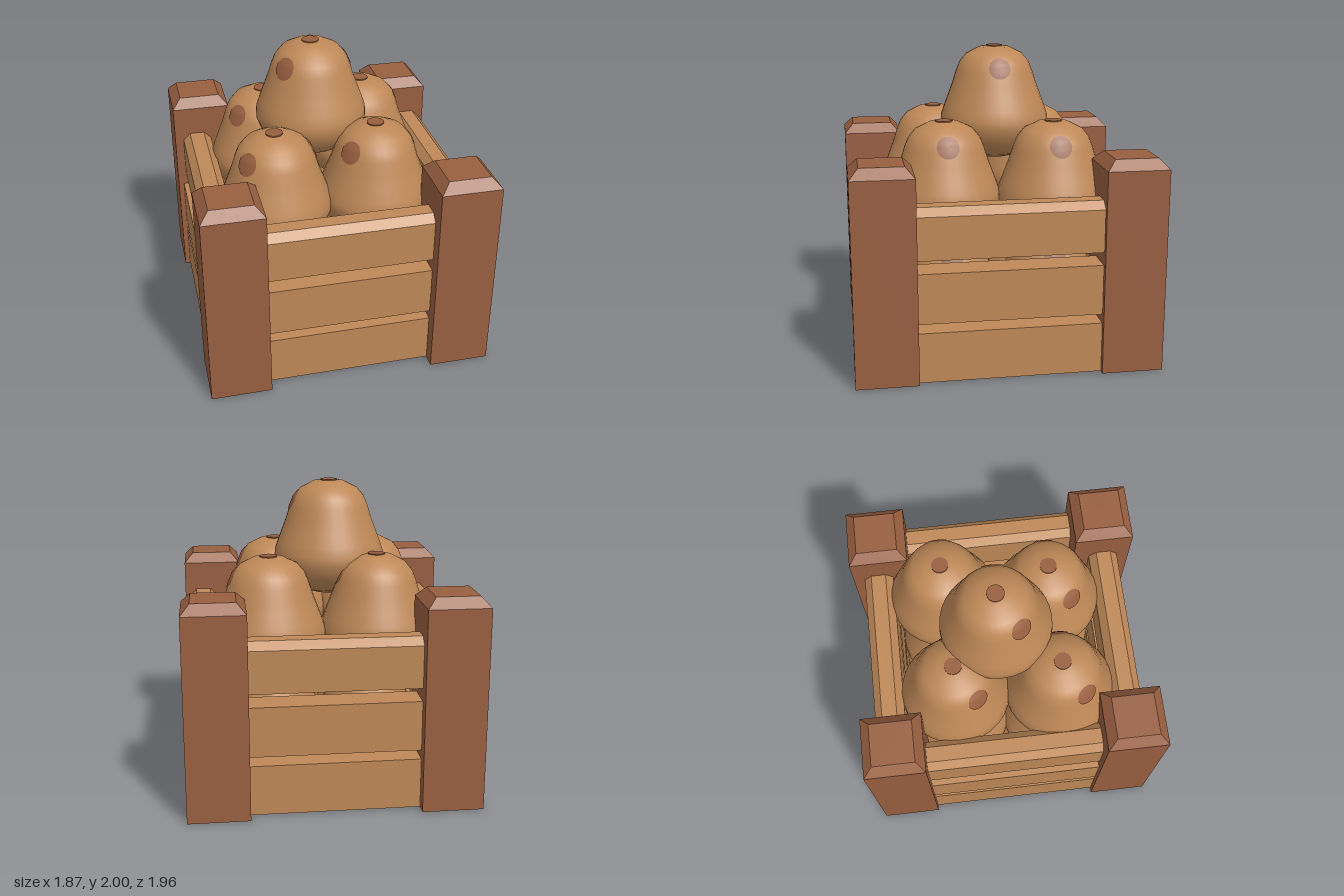
import * as THREE from 'three';

const tan = new THREE.MeshStandardMaterial({ name: 'tan', color: 0xbe8857 });
const brown = new THREE.MeshStandardMaterial({ name: 'brown', color: 0x985f40 });

function add(parent, name, geometry, material, x = 0, y = 0, z = 0) {
  const mesh = new THREE.Mesh(geometry, material);
  mesh.name = name;
  mesh.position.set(x, y, z);
  parent.add(mesh);
  return mesh;
}

// Square post with a bevelled top
function postGeometry(half, height, bevel) {
  const k = Math.SQRT2;
  const pts = [[0, 0], [half * k, 0], [half * k, height - bevel], [(half - 0.06) * k, height], [0, height]]
    .map(([x, y]) => new THREE.Vector2(x, y));
  const g = new THREE.LatheGeometry(pts, 4, Math.PI / 4).toNonIndexed();
  g.computeVertexNormals();
  return g;
}

// Plank along z with optional chamfers on its two top edges
function plankGeometry(length, thick, height, c) {
  const t = thick / 2;
  const pts = [[-t, 0], [t, 0], [t, height - c], [t - c, height], [-t + c, height], [-t, height - c]];
  const corners = c ? pts : [[-t, 0], [t, 0], [t, height], [-t, height]];
  const shape = new THREE.Shape(corners.map(([x, y]) => new THREE.Vector2(x, y)));
  return new THREE.ExtrudeGeometry(shape, { depth: length, bevelEnabled: false }).translate(0, 0, -length / 2);
}

// Pear-like outline of the fruit: radius, height
const outline = [[0, 0], [0.12, 0], [0.24, 0.04], [0.33, 0.12], [0.368, 0.22], [0.365, 0.28], [0.345, 0.34],
  [0.315, 0.42], [0.285, 0.5], [0.26, 0.58], [0.235, 0.64], [0.19, 0.695], [0.1, 0.74], [0, 0.75]];

function radiusAt(y) {
  const i = Math.max(1, outline.findIndex(p => p[1] >= y));
  const [r0, y0] = outline[i - 1], [r1, y1] = outline[i];
  return r0 + (r1 - r0) * (y - y0) / (y1 - y0);
}

// Round spot wrapped onto the fruit's skin
function spotGeometry(angle) {
  const g = new THREE.RingGeometry(0, 0.074, 20, 4);
  const p = g.attributes.position;
  for (let i = 0; i < p.count; i++) {
    const y = 0.615 + p.getY(i) * 0.9;
    const r = radiusAt(y) + 0.005;
    const a = angle + p.getX(i) / r;
    p.setXYZ(i, r * Math.sin(a), y, r * Math.cos(a));
  }
  g.computeVertexNormals();
  return g;
}

const fruitGeometry = new THREE.LatheGeometry(outline.map(([x, y]) => new THREE.Vector2(x, y)), 32);
const stemGeometry = new THREE.CylinderGeometry(0.056, 0.056, 0.009, 16);
const spots = [Math.PI / 2, -0.966].map(spotGeometry);

function addFruit(parent, x, y, z) {
  const fruit = new THREE.Group();
  fruit.name = 'fruit';
  fruit.position.set(x, y, z);
  add(fruit, 'fruitBody', fruitGeometry, tan);
  add(fruit, 'stemDot', stemGeometry, brown, 0, 0.7475, 0);
  for (const spot of spots) add(fruit, 'sideSpot', spot, brown);
  parent.add(fruit);
}

export function createModel() {
  const model = new THREE.Group();
  model.name = 'fruitCrate';

  // Corner posts
  const post = postGeometry(0.198, 1.385, 0.065);
  for (const x of [-0.739, 0.739]) for (const z of [-0.782, 0.78]) add(model, 'post', post, brown, x, 0, z);

  // Three planks on each side, the top one chamfered
  for (const [y, h, c] of [[0.002, 0.328, 0], [0.39, 0.325, 0], [0.8, 0.325, 0.05]]) {
    const long = plankGeometry(1.3, 0.2, h, c);
    const short = plankGeometry(1.2, 0.2, h, c);
    add(model, 'leftPlank', long, tan, c ? 0.805 : 0.8, y, 0);
    add(model, 'rightPlank', long, tan, c ? -0.778 : -0.8, y, 0);
    add(model, 'frontPlank', short, tan, 0, y, 0.79).rotation.y = Math.PI / 2;
    add(model, 'backPlank', short, tan, 0, y, -0.803).rotation.y = Math.PI / 2;
  }

  // Floor board
  add(model, 'floor', new THREE.BoxGeometry(1.42, 0.04, 1.42), brown, 0, 0.05, 0);

  // Lower layer, upper layer and the fruit on top
  const stack = [
    [-0.27, 0.07, -0.34], [0.35, 0.07, -0.34], [-0.33, 0.07, 0.34], [0.32, 0.07, 0.33],
    [-0.33, 0.8, -0.345], [0.375, 0.8, -0.362], [-0.375, 0.8, 0.35], [0.29, 0.8, 0.345],
    [-0.053, 1.248, -0.04],
  ];
  for (const [x, y, z] of stack) addFruit(model, x, y, z);

  return model;
}
